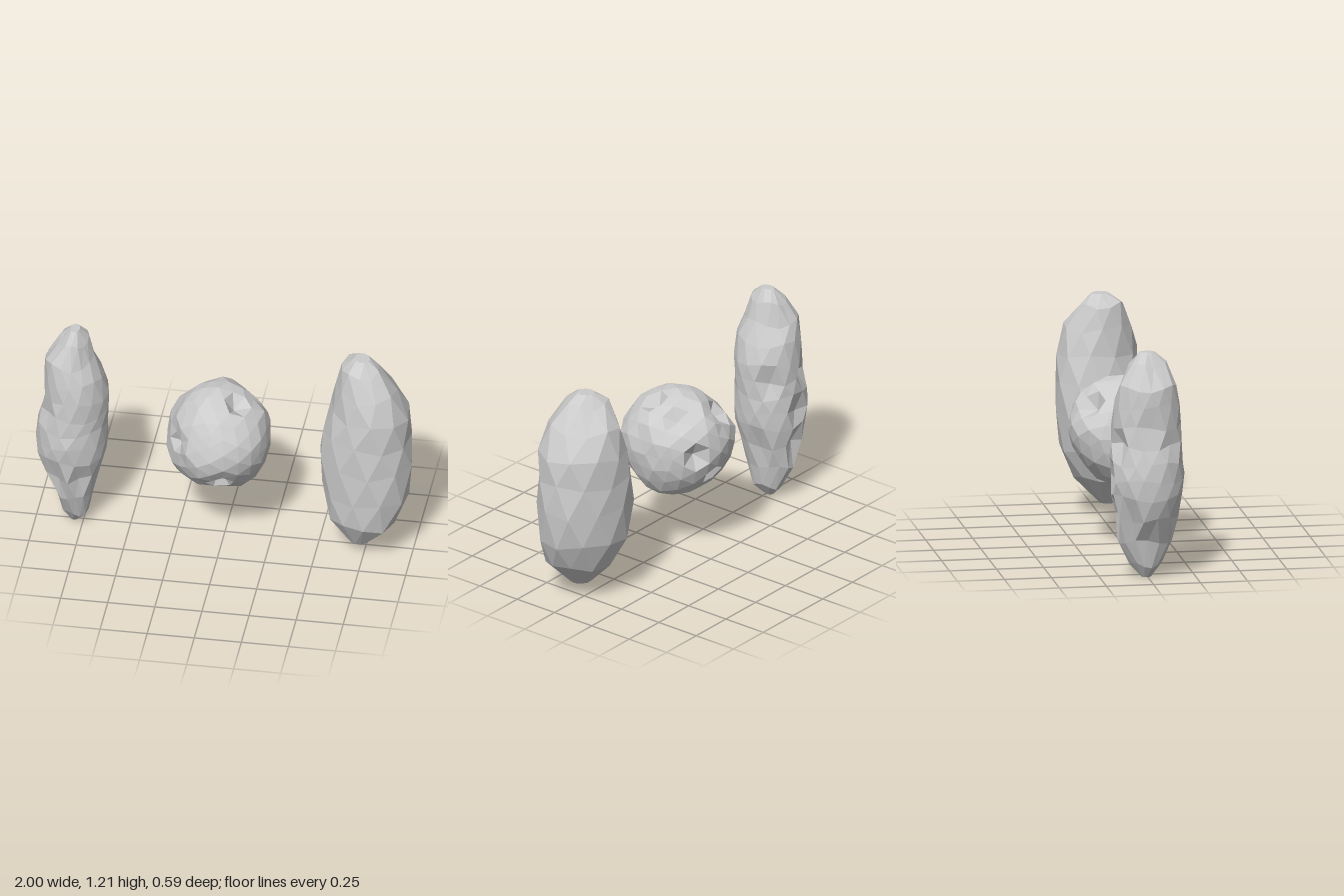
import * as THREE from 'three';

const material = new THREE.MeshStandardMaterial({ color: 0xcccccc, flatShading: true, roughness: 0.9 });

// Smooth repeatable roughness, about -1..1
const rough = (x, y, z) => Math.sin(9 * x + 4 * y + 1) * Math.cos(8 * z - 5 * y) * 0.6 + Math.sin(13 * y + 7 * z - 6 * x) * 0.4;

// Long boulder: staggered rings given as [y, xMin, xMax, zMin, zMax]
// Skew shifts the front to +x and the back to -x; gouges are [ring, side, radius factor]
function longRock(name, rings, sides, bump, skew, gouges = []) {
  const pos = [], index = [];
  const fit = 1 + (Math.PI / sides) ** 2 / 4;
  rings.forEach(([y, x0, x1, z0, z1], j) => {
    const cx = (x0 + x1) / 2, cz = (z0 + z1) / 2;
    const end = j === 0 || j === rings.length - 1;
    for (let i = 0; i < sides; i++) {
      const a = ((i + (j % 2) / 2) / sides) * Math.PI * 2;
      const c = Math.cos(a), s = Math.sin(a);
      const gouge = gouges.find(([ring, side]) => ring === j && side === i);
      const k = (fit + bump * rough(c, y * 2, s)) * (gouge ? gouge[2] : 1);
      const lift = end ? 0 : 0.015 * Math.sin(3 * a + j * 2);
      pos.push(cx + k * (c * (x1 - x0) / 2 + s * skew * (x1 - x0)), y + lift, cz + s * k * (z1 - z0) / 2);
    }
  });
  const at = (i, j) => j * sides + (i % sides);
  for (let j = 0; j < rings.length - 1; j++) {
    for (let i = 0; i < sides; i++) {
      if (j % 2 === 0) {
        index.push(at(i, j), at(i, j + 1), at(i + 1, j), at(i + 1, j), at(i, j + 1), at(i + 1, j + 1));
      } else {
        index.push(at(i, j), at(i + 1, j + 1), at(i + 1, j), at(i, j), at(i, j + 1), at(i + 1, j + 1));
      }
    }
  }
  // End caps
  const top = rings.length - 1;
  for (let i = 1; i < sides - 1; i++) {
    index.push(at(0, 0), at(i, 0), at(i + 1, 0), at(0, top), at(i + 1, top), at(i, top));
  }
  const geo = new THREE.BufferGeometry();
  geo.setAttribute('position', new THREE.Float32BufferAttribute(pos, 3));
  geo.setIndex(index);
  geo.computeVertexNormals();
  const mesh = new THREE.Mesh(geo, material);
  mesh.name = name;
  return mesh;
}

// Round boulder: faceted ball with broad lumps [x, y, z, height] and pits [x, y, z, factor]
function roundRock(name, center, radii, lumps, pits) {
  const geo = new THREE.IcosahedronGeometry(1, 3);
  const p = geo.attributes.position;
  const v = new THREE.Vector3();
  const bulges = lumps.map(([x, y, z, height]) => ({ dir: new THREE.Vector3(x, y, z).normalize(), height }));
  // Snap each pit to a corner of the ball so its rim is a clean ring of facets
  const holes = pits.map(([x, y, z, factor]) => {
    const dir = new THREE.Vector3(x, y, z).normalize();
    const best = new THREE.Vector3();
    let most = -1;
    for (let i = 0; i < p.count; i++) {
      v.fromBufferAttribute(p, i);
      if (v.dot(dir) > most) { most = v.dot(dir); best.copy(v); }
    }
    return { best, factor };
  });
  for (let i = 0; i < p.count; i++) {
    v.fromBufferAttribute(p, i).normalize();
    let k = 1 + 0.025 * rough(v.x, v.y, v.z);
    for (const { dir, height } of bulges) k += height * Math.exp(-((v.angleTo(dir) / 0.5) ** 2));
    for (const { best, factor } of holes) {
      const angle = v.angleTo(best);
      if (angle < 0.1) k *= factor;
      else if (angle < 0.38) k *= 0.96;
    }
    p.setXYZ(i, v.x * k * radii[0], v.y * k * radii[1], v.z * k * radii[2]);
  }
  geo.computeVertexNormals();
  const mesh = new THREE.Mesh(geo, material);
  mesh.position.set(...center);
  mesh.name = name;
  return mesh;
}

export function createModel() {
  const group = new THREE.Group();
  group.name = 'rocks';

  // Slim pitted boulder
  group.add(longRock('slimRock', [
    [0, -0.82, -0.78, -0.03, 0.02],
    [0.07, -0.86, -0.72, -0.09, 0.08],
    [0.2, -0.89, -0.7, -0.155, 0.13],
    [0.33, -0.965, -0.66, -0.175, 0.16],
    [0.45, -0.995, -0.63, -0.19, 0.18],
    [0.54, -1, -0.625, -0.2, 0.19],
    [0.63, -0.99, -0.625, -0.195, 0.185],
    [0.72, -0.97, -0.62, -0.19, 0.18],
    [0.82, -0.96, -0.62, -0.185, 0.18],
    [0.93, -0.955, -0.645, -0.175, 0.17],
    [1.03, -0.95, -0.695, -0.15, 0.15],
    [1.14, -0.875, -0.725, -0.1, 0.1],
    [1.205, -0.82, -0.77, -0.04, 0.04],
  ], 14, 0.025, 0, [
    [7, 9, 0.76], [8, 7, 0.88], [3, 10, 0.76], [3, 8, 0.78], [7, 12, 0.78],
    [5, 10, 0.8], [3, 13, 0.8], [3, 4, 0.8], [3, 2, 0.82], [7, 5, 0.9],
  ]));

  // Round pitted boulder
  group.add(roundRock('roundRock', [-0.035, 0.625, 0], [0.273, 0.288, 0.293], [
    [-0.75, -0.65, -0.1, 0.14], [0.55, -0.75, 0, 0.11], [0.7, 0.5, 0, 0.03], [-0.7, 0.65, 0.1, -0.06],
    [-0.75, 0.05, 0.6, -0.1], [-0.7, 0.1, -0.65, 0.07], [0.7, 0, 0.7, 0.07],
  ], [
    [-0.5, 0.57, -0.65, 0.72], [0.6, 0.1, -0.8, 0.75], [0, -0.58, -0.82, 0.72],
    [0.1, -0.65, 0.74, 0.65], [-0.85, -0.1, 0.5, 0.75], [-0.2, 0.45, 0.85, 0.92],
    [0.52, 0.78, 0.2, 0.74], [0.55, 0.65, -0.5, 0.82],
  ]));

  // Broad smooth boulder
  group.add(longRock('broadRock', [
    [0.065, 0.665, 0.765, 0, 0.1],
    [0.21, 0.56, 0.91, -0.135, 0.195],
    [0.37, 0.52, 0.975, -0.205, 0.212],
    [0.56, 0.5, 1, -0.225, 0.215],
    [0.72, 0.525, 0.987, -0.225, 0.215],
    [0.87, 0.565, 0.98, -0.22, 0.21],
    [1.01, 0.595, 0.91, -0.185, 0.18],
    [1.13, 0.62, 0.82, -0.1, 0.125],
    [1.185, 0.69, 0.77, -0.04, 0.05],
  ], 10, 0.02, 0.08));

  return group;
}
